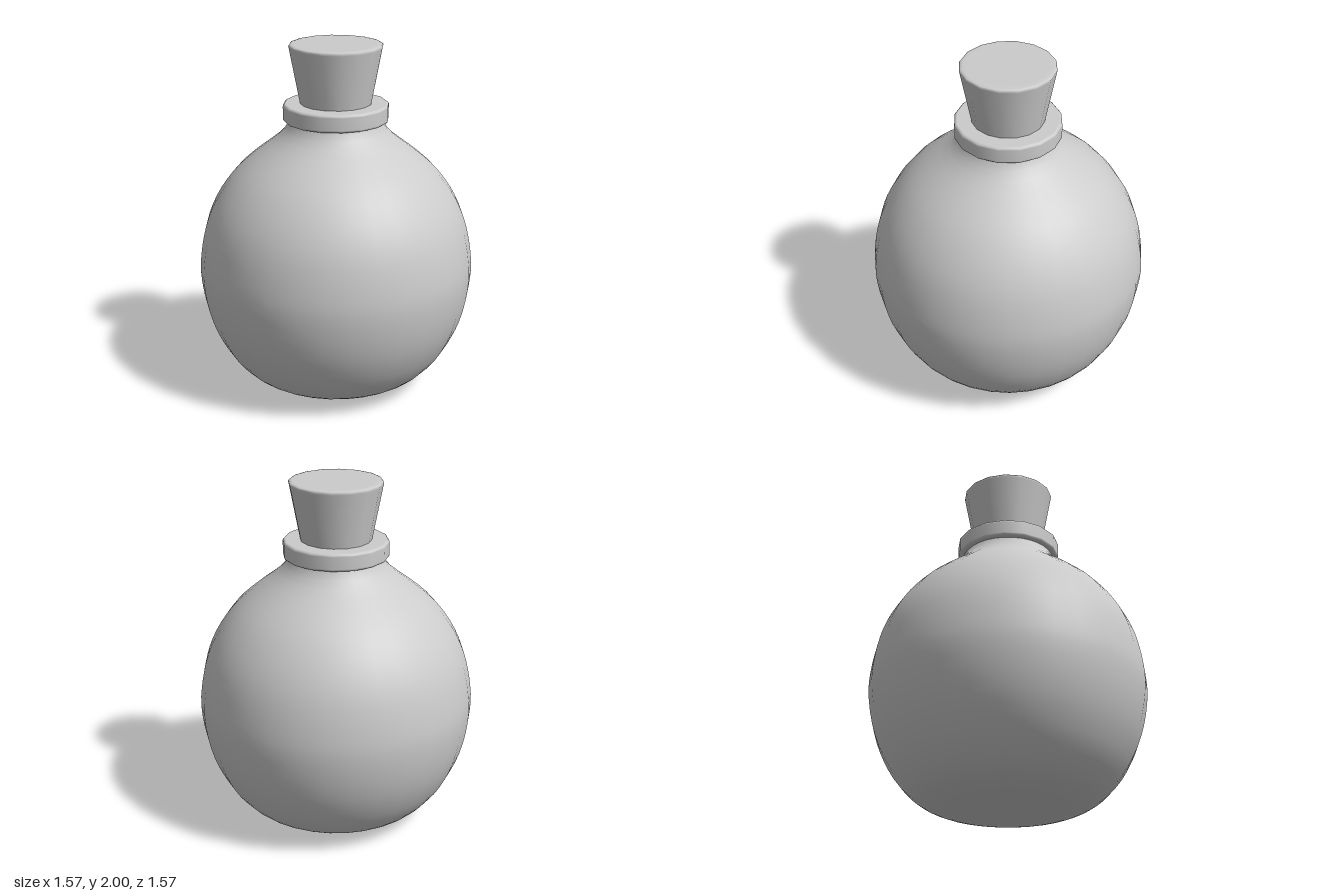
import * as THREE from 'three';

const material = new THREE.MeshStandardMaterial({ color: 0xcccccc, side: THREE.DoubleSide });

// Turned part: profile points are [radius, height], listed bottom to top
function turned(name, points, sides) {
  const profile = points.map(([r, y]) => new THREE.Vector2(r, y));
  const mesh = new THREE.Mesh(new THREE.LatheGeometry(profile, sides), material);
  mesh.name = name;
  return mesh;
}

export function createModel() {
  const group = new THREE.Group();
  group.name = 'stopperedBottle';

  // Round body with a softly bowed base and a short neck
  const outline = [
    [0, 0], [0.15, 0.005], [0.29, 0.015], [0.4, 0.032], [0.485, 0.063], [0.56, 0.118],
    [0.635, 0.205], [0.695, 0.31], [0.74, 0.42], [0.772, 0.55], [0.787, 0.69], [0.779, 0.8],
    [0.762, 0.9], [0.735, 1], [0.692, 1.1], [0.63, 1.2], [0.55, 1.295], [0.445, 1.385],
    [0.327, 1.476], [0.272, 1.545], [0.255, 1.6],
  ].map(([r, y]) => new THREE.Vector2(r, y));
  const bodyPoints = new THREE.SplineCurve(outline).getPoints(40)
    .map((p) => [Math.max(p.x, 0), Math.max(p.y, 0)]);
  group.add(turned('body', bodyPoints, 32));

  // Collar with narrow bevels around the mouth
  group.add(turned('collar', [
    [0.19, 1.565], [0.285, 1.565], [0.292, 1.567], [0.298, 1.573], [0.299, 1.58],
    [0.299, 1.65], [0.298, 1.657], [0.291, 1.664], [0.283, 1.666], [0.19, 1.666],
  ], 16));

  // Tapered stopper, continuing down into the neck
  group.add(turned('stopper', [
    [0, 1.56], [0.175, 1.56], [0.182, 1.565], [0.203, 1.67], [0.262, 1.98],
    [0.264, 1.99], [0.259, 1.997], [0.246, 2], [0.22, 2], [0, 2],
  ], 16));

  return group;
}
